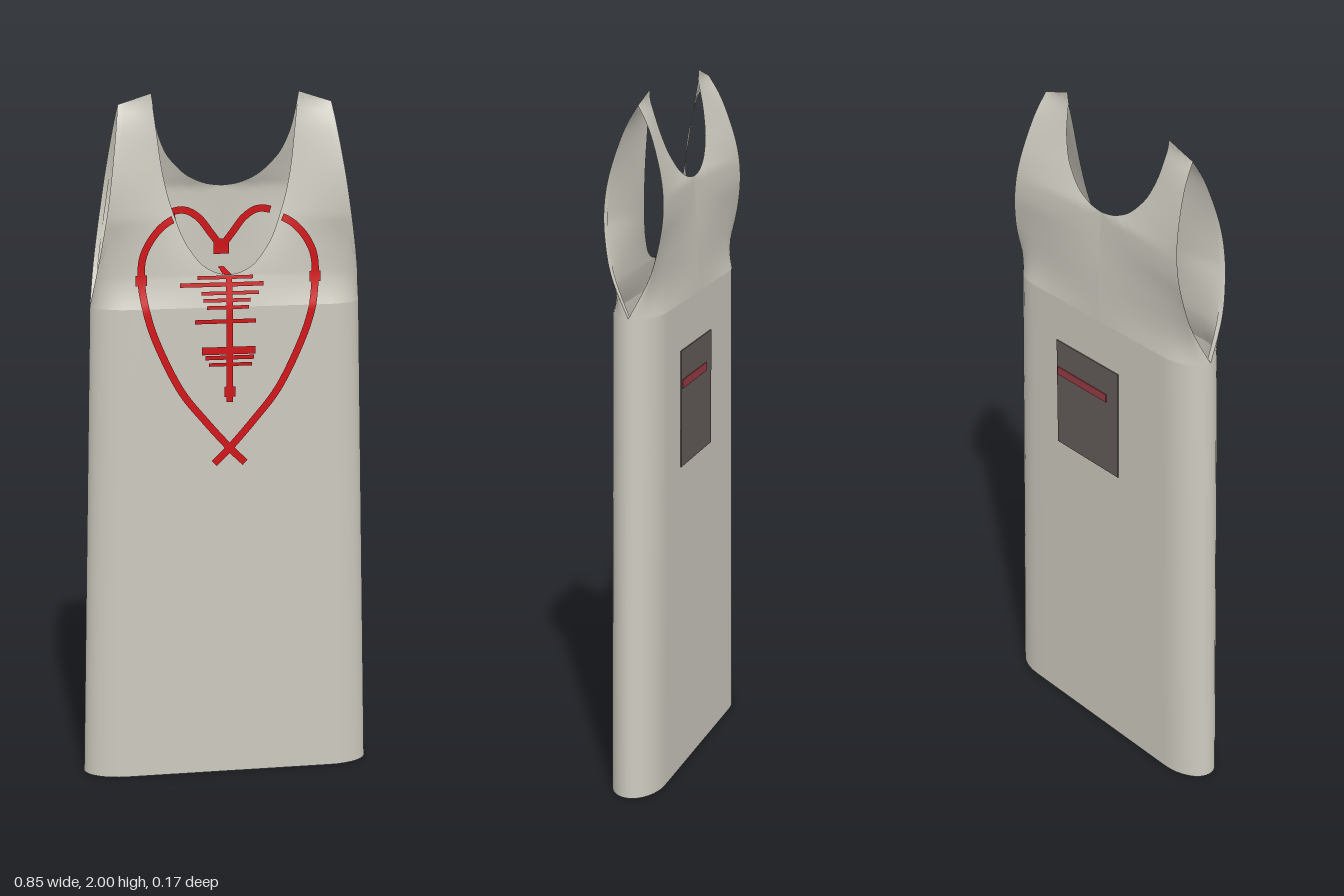
import * as THREE from 'three';

const fabric = new THREE.MeshStandardMaterial({ color: 0xcdcabf, side: THREE.DoubleSide, name: 'fabric' });
const red = new THREE.MeshStandardMaterial({ color: 0xd01216, side: THREE.DoubleSide, name: 'red paint' });
const patchDark = new THREE.MeshStandardMaterial({ color: 0x645d59, side: THREE.DoubleSide, name: 'dark patch' });
const patchRed = new THREE.MeshStandardMaterial({ color: 0x963c44, side: THREE.DoubleSide, name: 'patch stripe' });

const lerp = THREE.MathUtils.lerp;
const clamp = THREE.MathUtils.clamp;

// Piecewise linear lookup in [[key, value], ...]
function look(table, k) {
  if (k <= table[0][0]) return table[0][1];
  for (let i = 1; i < table.length; i++) {
    const [a, va] = table[i - 1], [b, vb] = table[i];
    if (k <= b) return b === a ? vb : lerp(va, vb, (k - a) / (b - a));
  }
  return table[table.length - 1][1];
}
const smooth = (t, n) => new THREE.SplineCurve(t.map(p => new THREE.Vector2(...p))).getPoints(n).map(p => [p.x, p.y]);

// Half width, armhole depth, and each side's neckline and neck depth, all by height
const CHEST = 1.4, ARM_TOP = 1.97, DEPTH = 0.075;
const outerX = [[0, 0.425], [1.4, 0.39], [1.5, 0.375], [1.68, 0.346], [1.97, 0.305]];
const armZ = smooth([[1.4, 0], [1.5, 0.05], [1.58, 0.073], [1.68, 0.085], [1.78, 0.075], [1.9, 0.038], [1.97, 0]], 40);
const sides = {
  front: {
    sign: 1, lowRows: 5,
    neck: smooth([[1.49, 0], [1.497, 0.035], [1.52, 0.075], [1.56, 0.107], [1.6, 0.13], [1.66, 0.152],
      [1.72, 0.17], [1.8, 0.186], [1.9, 0.198], [2, 0.21]], 36),
    neckZ: [[1.4, 0.075], [1.49, 0.058], [1.6, 0.044], [1.72, 0.03], [1.9, 0.01], [1.97, 0]],
  },
  back: {
    sign: -1, lowRows: 12,
    neck: smooth([[1.73, 0], [1.736, 0.045], [1.755, 0.092], [1.78, 0.125], [1.82, 0.16], [1.86, 0.18],
      [1.9, 0.193], [1.95, 0.202], [2, 0.21]], 32),
    neckZ: [[1.4, 0.075], [1.55, 0.07], [1.73, 0.057], [1.8, 0.042], [1.9, 0.018], [1.97, 0]],
  },
};

// Cross-section: flat in the middle with elliptical ends
const FLAT = 0.72;
const section = u => (u < FLAT ? 1 : Math.sqrt(Math.max(0, 1 - ((u - FLAT) / (1 - FLAT)) ** 2)));
const steps = [];
for (let i = 0; i < 8; i++) steps.push(FLAT * i / 8);
for (let i = 0; i <= 8; i++) steps.push(FLAT + (1 - FLAT) * Math.sin(i / 8 * Math.PI / 2));

// Depth of the cloth at a point
function clothZ(side, x, y) {
  const ax = Math.abs(x), out = look(outerX, y);
  if (y <= CHEST) return side.sign * DEPTH * section(Math.min(1, ax / out));
  const inn = look(side.neck, y);
  const u = clamp((ax - inn) / (out - inn), 0, 1);
  const w = clamp((y - CHEST) / 0.25, 0, 1);
  return side.sign * lerp(look(side.neckZ, y), look(armZ, y), lerp(1 - section(u), u, w));
}

// Surface through equal-length rows of points
function loft(rows, material, name) {
  const n = rows[0].length, idx = [];
  for (let r = 0; r < rows.length - 1; r++)
    for (let c = 0; c < n - 1; c++) {
      const a = r * n + c;
      idx.push(a, a + 1, a + n, a + 1, a + n + 1, a + n);
    }
  const g = new THREE.BufferGeometry();
  g.setAttribute('position', new THREE.Float32BufferAttribute(rows.flat(2), 3));
  g.setIndex(idx);
  g.computeVertexNormals();
  const m = new THREE.Mesh(g, material);
  m.name = name;
  return m;
}

// Closed ring around the skirt
function ring(y, scale = 1) {
  const pts = [];
  const add = (s, u, z) => pts.push([s * u * look(outerX, y) * scale, y, z * DEPTH * section(u) * scale]);
  steps.forEach(u => add(1, u, 1));
  [...steps].reverse().slice(1).forEach(u => add(1, u, -1));
  steps.slice(1).forEach(u => add(-1, u, -1));
  [...steps].reverse().slice(1).forEach(u => add(-1, u, 1));
  return pts;
}

// One half of the bodice, from neckline to armhole
function bodiceHalf(side, mirror, name) {
  const low = side.neck[0][0], inner = [];
  for (let i = 0; i < side.lowRows; i++) inner.push([lerp(CHEST, low, i / side.lowRows), 0]);
  inner.push(...side.neck);
  const rows = inner.map(([iy, ix], i) => {
    const oy = lerp(CHEST, ARM_TOP, i / (inner.length - 1)), ox = look(outerX, oy);
    return steps.map(u => {
      const x = lerp(ix, ox, u), y = lerp(iy, oy, u);
      return [mirror * x, y, clothZ(side, x, y)];
    });
  });
  return loft(rows, fabric, name);
}

// Painted line lying on the cloth; inside the neck opening it falls on the inner back
function paint(points, width, group, name, curved = false) {
  const v = points.map(p => new THREE.Vector2(...p));
  const line = curved ? new THREE.SplineCurve(v).getSpacedPoints(70)
    : new THREE.LineCurve(v[0], v[1]).getSpacedPoints(12);
  let run = [], wasOpen = null;
  const flush = () => { if (run.length > 1) group.add(loft(run, red, name)); run = []; };
  line.forEach((p, i) => {
    const d = line[Math.min(i + 1, line.length - 1)].clone().sub(line[Math.max(i - 1, 0)]).normalize();
    const open = p.y > sides.front.neck[0][0] && Math.abs(p.x) < look(sides.front.neck, p.y);
    if (open !== wasOpen) flush();
    wasOpen = open;
    run.push([-1, 1].map(s => {
      const x = p.x - s * d.y * width / 2, y = p.y + s * d.x * width / 2;
      return [x, y, clothZ(open ? sides.back : sides.front, x, y) + 0.005];
    }));
  });
  flush();
}

export function createModel() {
  const model = new THREE.Group();
  model.name = 'sleevelessDress';

  // Skirt and folded hem
  model.add(loft([0, 0.35, 0.7, 1.05, CHEST].map(y => ring(y)), fabric, 'skirt'));
  model.add(loft([ring(0), ring(0.012, 0.97)], fabric, 'hem'));

  // Bodice panels and armhole bindings
  for (const [m, word] of [[1, 'left'], [-1, 'right']]) {
    model.add(bodiceHalf(sides.front, m, word + 'FrontBodice'));
    model.add(bodiceHalf(sides.back, m, word + 'BackBodice'));
    for (const s of [1, -1]) {
      const edge = [];
      for (let i = 0; i <= 24; i++) {
        const y = lerp(CHEST, ARM_TOP, i / 24), x = look(outerX, y), z = s * look(armZ, y);
        edge.push([[m * x, y, z], [m * (x - 0.014), y, z * 0.93]]);
      }
      model.add(loft(edge, fabric, word + 'ArmholeBinding'));
    }
  }

  // Heart outline with crossed tails
  const art = new THREE.Group();
  art.name = 'heartPainting';
  const heart = [[0, 1.55], [0.03, 1.59], [0.07, 1.64], [0.12, 1.66], [0.19, 1.63], [0.24, 1.56], [0.25, 1.48],
    [0.235, 1.38], [0.2, 1.28], [0.14, 1.16], [0.07, 1.07], [0, 0.99], [-0.045, 0.945]];
  for (const m of [1, -1]) {
    paint(heart.map(([x, y]) => [m * x, y]), 0.021, art, 'heartLine', true);
    paint([[m * 0.25, 1.465], [m * 0.25, 1.495]], 0.032, art, 'heartKnot');
  }
  paint([[0, 1.53], [0, 1.575]], 0.045, art, 'heartKnot');

  // Spine and ribs: height, left end, right end, thickness
  paint([[0, 1.485], [0, 1.125]], 0.018, art, 'spine');
  paint([[0, 1.17], [0, 1.14]], 0.032, art, 'spineTip');
  const ribs = [[1.484, -0.09, 0.07, 0.01], [1.464, -0.14, 0.1, 0.012], [1.44, -0.08, 0.085, 0.01],
    [1.42, -0.075, 0.06, 0.01], [1.4, -0.065, 0.055, 0.01], [1.36, -0.1, 0.075, 0.012],
    [1.275, -0.08, 0.075, 0.022], [1.255, -0.07, 0.07, 0.012], [1.235, -0.06, 0.065, 0.01]];
  for (const [y, a, b, t] of ribs) paint([[a, y], [b, y]], t, art, 'rib');

  // Red threads spanning front to back
  art.add(loft([[[-0.015, 1.488, 0.06], [0.011, 1.488, 0.06]], [[-0.008, 1.492, -0.07], [0.007, 1.492, -0.07]]], red, 'centreThread'));
  art.add(loft([[[-0.155, 1.64, 0.04], [-0.146, 1.64, 0.04]], [[-0.145, 1.652, -0.065], [-0.136, 1.652, -0.065]]], red, 'sideThread'));
  model.add(art);

  // Back patch with a stripe
  const plate = (x0, x1, y0, y1, z, mat, name) => {
    const p = new THREE.Mesh(new THREE.BoxGeometry(x1 - x0, y1 - y0, 0.003), mat);
    p.position.set((x0 + x1) / 2, (y0 + y1) / 2, z);
    p.name = name;
    model.add(p);
  };
  plate(-0.095, 0.175, 0.925, 1.265, -DEPTH - 0.003, patchDark, 'backPatch');
  plate(-0.045, 0.17, 1.155, 1.18, -DEPTH - 0.006, patchRed, 'backPatchStripe');
  return model;
}
